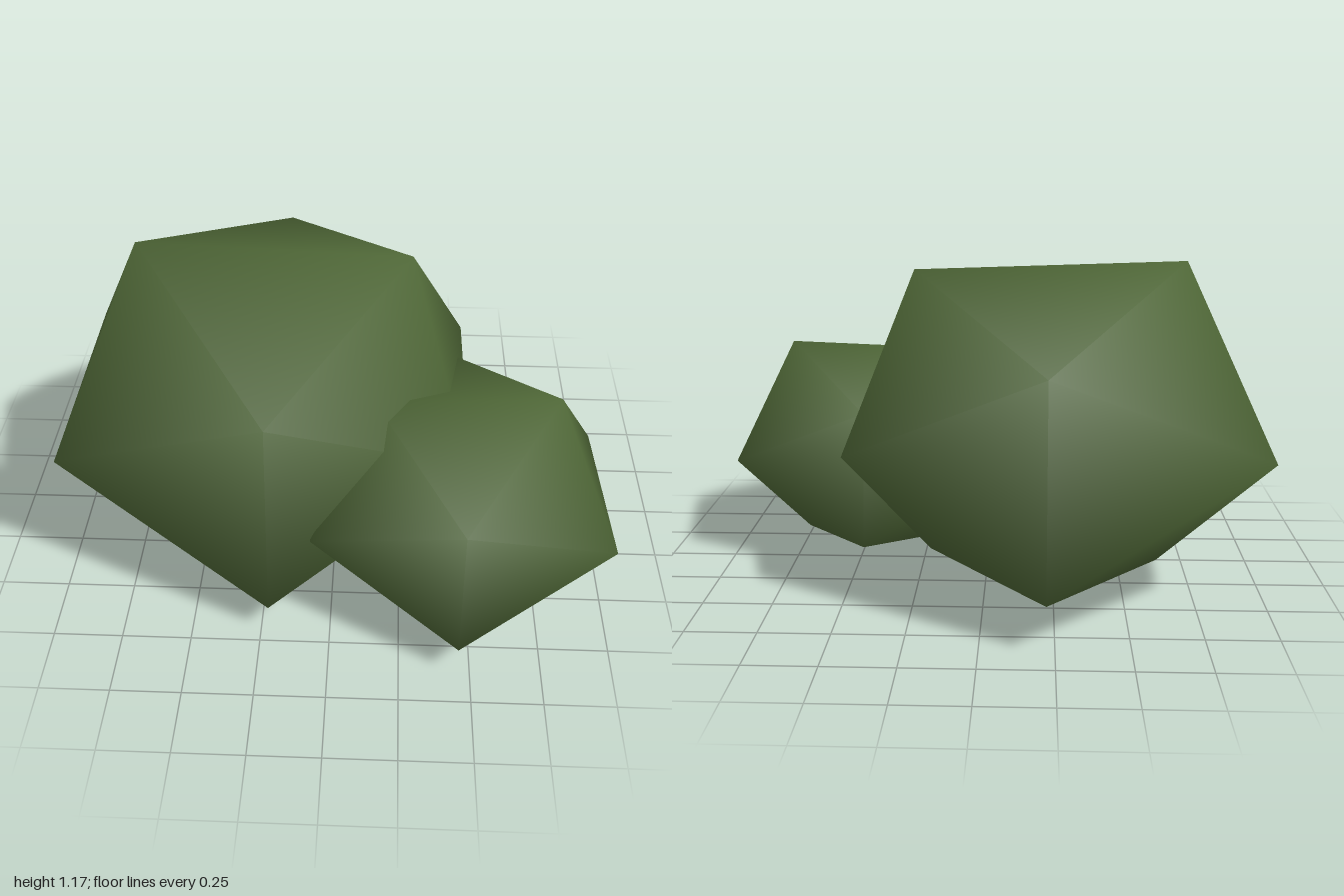
import * as THREE from 'three';

// Corner order follows the classic icosahedron: three perpendicular rectangles
const FACES = [
  0, 11, 5, 0, 5, 1, 0, 1, 7, 0, 7, 10, 0, 10, 11,
  1, 5, 9, 5, 11, 4, 11, 10, 2, 10, 7, 6, 7, 1, 8,
  3, 9, 4, 3, 4, 2, 3, 2, 6, 3, 6, 8, 3, 8, 9,
  4, 9, 5, 2, 4, 11, 6, 2, 10, 8, 6, 7, 9, 8, 1,
];

// Smooth-shaded, slightly irregular icosahedral clump
function clump(name, corners, material) {
  const geometry = new THREE.BufferGeometry();
  geometry.setAttribute('position', new THREE.Float32BufferAttribute(corners.flat(), 3));
  geometry.setIndex(FACES);
  geometry.computeVertexNormals();
  const mesh = new THREE.Mesh(geometry, material);
  mesh.name = name;
  return mesh;
}

export function createModel() {
  const group = new THREE.Group();
  group.name = 'bush';
  const leafGreen = new THREE.MeshStandardMaterial({ color: 0x4e6636, side: THREE.DoubleSide });
  leafGreen.name = 'leafGreen';

  group.add(clump('largeClump', [
    // top and bottom ridges
    [-0.73, 1.18, -0.055], [0.27, 1.145, -0.055], [-0.65, 0.025, -0.055], [0.22, 0.06, -0.055],
    // front and back edges
    [-0.22, 0.13, 0.71], [-0.22, 0.865, 0.62], [-0.22, 0.17, -0.885], [-0.22, 0.89, -0.79],
    // right and left edges
    [0.49, 0.55, -0.5], [0.49, 0.55, 0.39], [-1, 0.55, -0.54], [-1, 0.55, 0.43],
  ], leafGreen));

  group.add(clump('smallClump', [
    [0.14, 0.78, 0.32], [0.8, 0.805, 0.32], [0.14, 0.005, 0.32], [0.76, 0.02, 0.32],
    [0.455, 0.13, 0.88], [0.455, 0.635, 0.86], [0.455, 0.13, -0.245], [0.455, 0.625, -0.18],
    [0.975, 0.39, 0], [1, 0.39, 0.65], [-0.07, 0.39, 0.01], [-0.07, 0.39, 0.635],
  ], leafGreen));

  return group;
}
